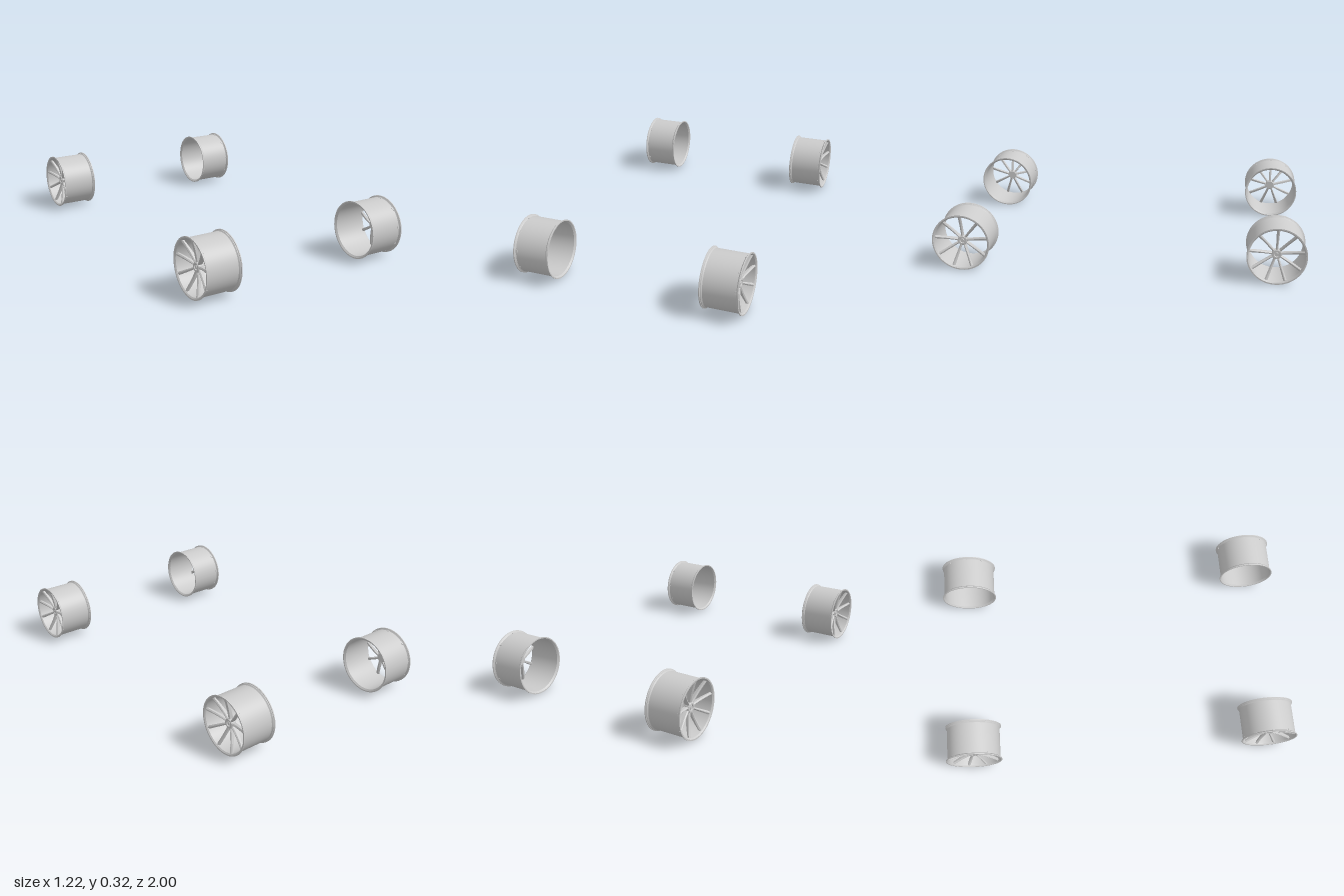
import * as THREE from 'three';
import { toCreasedNormals } from 'three/addons/utils/BufferGeometryUtils.js';

const R = 0.158;      // flange radius
const SPOKES = 9;
const material = new THREE.MeshStandardMaterial({ color: 0xcccccc, side: THREE.DoubleSide });

// Solid of revolution around the x axle; points are [radius, x], listed as a closed loop.
function turned(points, segments) {
  const profile = points.map(([r, x]) => new THREE.Vector2(r, x));
  const geometry = new THREE.LatheGeometry(profile, segments).rotateZ(-Math.PI / 2);
  return toCreasedNormals(geometry, 0.5);
}

// Barrel with a thin wall and a flange at each end
function rimGeometry() {
  return turned([
    [0.144, -0.092], [0.152, -0.1], [R, -0.1], [R, -0.095], [0.154, -0.093], [0.154, -0.09],
    [0.149, -0.084], [0.149, 0.088], [0.153, 0.092], [R, 0.095], [R, 0.1],
    [0.151, 0.1], [0.145, 0.094], [0.144, 0.085], [0.144, -0.092],
  ], 72);
}

// Tapered spoke along +y with a raised ridge, sweeping inwards from rim to hub
function spokeGeometry() {
  const rings = 12, sides = 6, positions = [], index = [];
  for (let i = 0; i <= rings; i++) {
    const t = i / rings;
    const r = 0.016 + t * 0.1345;
    const front = 0.064 + 0.031 * Math.pow(t, 1.4);
    const depth = 0.026 - 0.012 * t;
    const w = 0.0055 + 0.0035 * t;
    const section = [
      [front, 0.25 * w], [front - 0.005, w], [front - depth, 0.7 * w],
      [front - depth, -0.7 * w], [front - 0.005, -w], [front, -0.25 * w],
    ];
    for (const [x, z] of section) positions.push(x, r, z);
  }
  for (let i = 0; i < rings; i++) {
    for (let j = 0; j < sides; j++) {
      const a = i * sides + j, b = i * sides + (j + 1) % sides;
      index.push(a, a + sides, b, b, a + sides, b + sides);
    }
  }
  // End caps
  const end = rings * sides;
  for (let j = 1; j < sides - 1; j++) {
    index.push(0, j, j + 1, end, end + j + 1, end + j);
  }
  const geometry = new THREE.BufferGeometry();
  geometry.setAttribute('position', new THREE.Float32BufferAttribute(positions, 3));
  geometry.setIndex(index);
  return toCreasedNormals(geometry, 0.5);
}

// Hub ring with a recessed centre
function hubGeometry() {
  return turned([
    [0, 0.036], [0.024, 0.036], [0.027, 0.042], [0.027, 0.062], [0.024, 0.067],
    [0.015, 0.067], [0.013, 0.06], [0, 0.06],
  ], 36);
}

export function createModel() {
  const model = new THREE.Group();
  model.name = 'wheelSet';
  const rim = rimGeometry(), spoke = spokeGeometry(), hub = hubGeometry();
  const cap = new THREE.CylinderGeometry(0.009, 0.01, 0.008, 24).rotateZ(-Math.PI / 2);

  function add(parent, geometry, name) {
    const mesh = new THREE.Mesh(geometry, material);
    mesh.name = name;
    parent.add(mesh);
    return mesh;
  }

  function wheel(name) {
    const group = new THREE.Group();
    group.name = name;
    add(group, rim, 'rim');
    add(group, hub, 'hub');
    add(group, cap, 'centreCap').position.x = 0.062;
    for (let i = 0; i < SPOKES; i++) {
      add(group, spoke, 'spoke').rotation.x = (i / SPOKES) * Math.PI * 2;
    }
    return group;
  }

  // Four wheels, open faces inwards; the front pair stands slightly wider
  for (const [end, z, x] of [['front', 1 - R, 0.511], ['rear', R - 1, 0.502]]) {
    for (const [side, sx] of [['Left', 1], ['Right', -1]]) {
      const w = wheel(end + side + 'Wheel');
      w.position.set(sx * x, R, z);
      if (sx < 0) w.rotation.y = Math.PI;
      model.add(w);
    }
  }
  return model;
}
